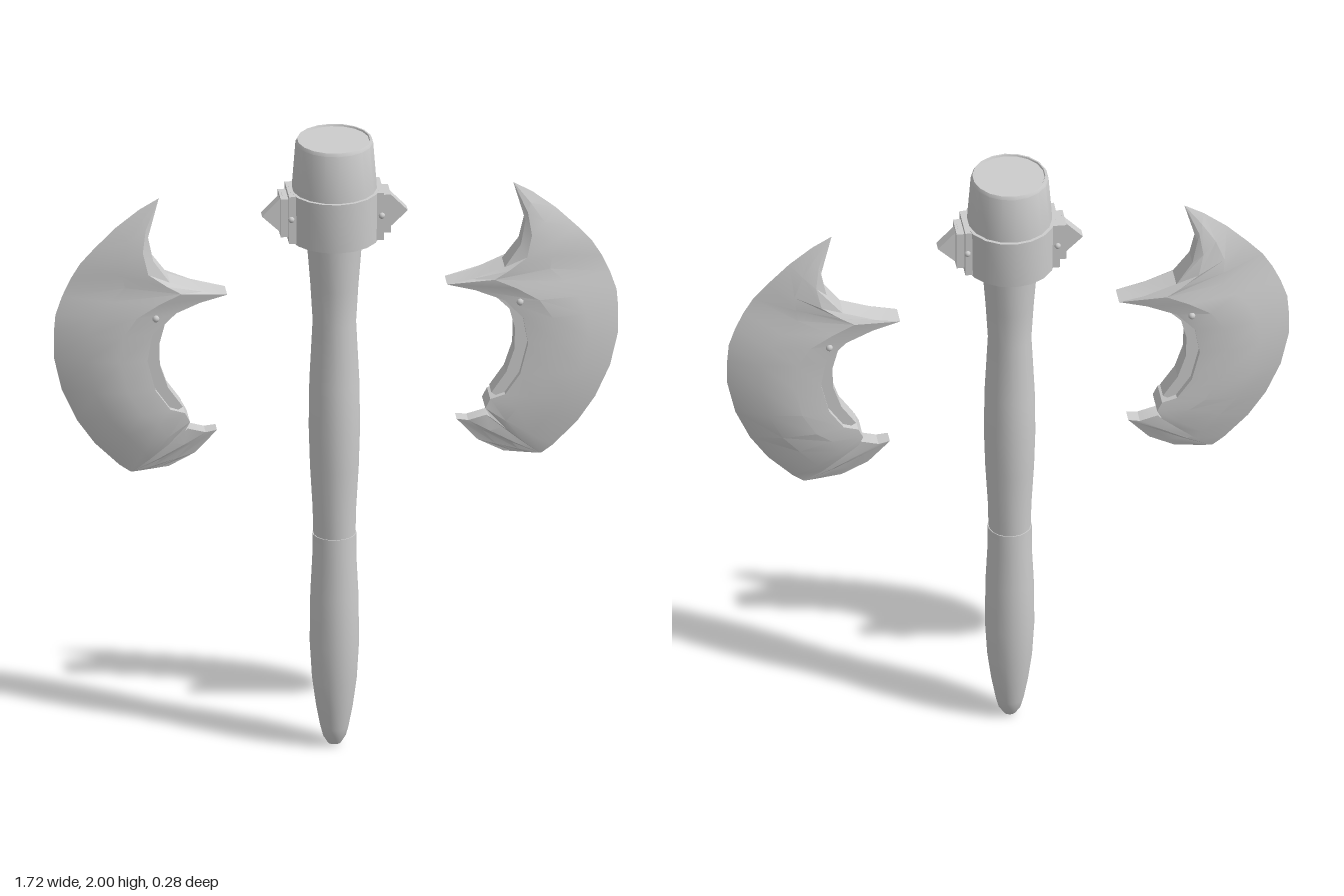
import * as THREE from 'three';
import { toCreasedNormals } from 'three/addons/utils/BufferGeometryUtils.js';

// Blade stations from upper tip to lower tip: inner x, y, half thickness, outer x, y, fullness
const STATIONS = [
  [0.54, 1.83, 0, 0.54, 1.83, 0],
  [0.575, 1.71, 0.02, 0.6, 1.795, 0.4],
  [0.56, 1.635, 0.03, 0.67, 1.74, 0.65],
  [0.51, 1.565, 0.037, 0.735, 1.675, 0.8],
  [0.41, 1.53, 0.035, 0.78, 1.625, 0.9],
  [0.335, 1.515, 0.033, 0.81, 1.575, 0.95],
  [0.42, 1.495, 0.04, 0.835, 1.52, 1],
  [0.51, 1.46, 0.048, 0.855, 1.46, 1],
  [0.565, 1.4, 0.05, 0.86, 1.4, 1],
  [0.58, 1.315, 0.05, 0.86, 1.32, 1],
  [0.555, 1.215, 0.05, 0.835, 1.21, 1],
  [0.51, 1.15, 0.048, 0.79, 1.11, 0.95],
  [0.465, 1.135, 0.045, 0.735, 1.03, 0.9],
  [0.45, 1.105, 0.045, 0.66, 0.955, 0.8],
  [0.465, 1.075, 0.045, 0.625, 0.93, 0.65],
  [0.455, 1.075, 0.025, 0.62, 0.93, 0.4],
  [0.4, 1.06, 0.025, 0.62, 0.93, 0.4],
  [0.365, 1.065, 0.022, 0.62, 0.93, 0.35],
  [0.43, 0.99, 0.012, 0.62, 0.93, 0.2],
  [0.51, 0.945, 0.004, 0.62, 0.93, 0.05],
  [0.625, 0.93, 0, 0.625, 0.93, 0],
];

// Closed loop around one cross-section: inner edge, face, bevel, cutting edge, and back
function section([ix, iy, w, ox, oy, f]) {
  const at = (t, z) => [ix + (ox - ix) * t, iy + (oy - iy) * t, z];
  const m = 0.058 * f, b = 0.041 * f;
  return [at(0, w), at(0.3, m), at(0.66, b), at(1, 0), at(0.66, -b), at(0.3, -m), at(0, -w)];
}

function bladeGeometry(side) {
  const rings = STATIONS.map(section);
  const pos = [];
  const tri = (a, b, c) => {
    for (const p of side > 0 ? [a, b, c] : [a, c, b]) pos.push(p[0] * side, p[1], p[2]);
  };
  for (let i = 0; i < rings.length - 1; i++) {
    const n = rings[i].length;
    for (let j = 0; j < n; j++) {
      const k = (j + 1) % n;
      tri(rings[i][j], rings[i + 1][j], rings[i + 1][k]);
      tri(rings[i][j], rings[i + 1][k], rings[i][k]);
    }
  }
  const g = new THREE.BufferGeometry();
  g.setAttribute('position', new THREE.Float32BufferAttribute(pos, 3));
  g.computeVertexNormals();
  return toCreasedNormals(g, 0.3);
}

// Thin stepped lip lining the inner arc of a blade
function lipGeometry(side) {
  const inner = [[0.42, 1.5], [0.475, 1.475], [0.525, 1.425], [0.542, 1.36], [0.54, 1.29], [0.515, 1.215], [0.47, 1.15]];
  const outer = [[0.5, 1.13], [0.58, 1.21], [0.61, 1.315], [0.59, 1.4], [0.53, 1.47]];
  const shape = new THREE.Shape([...inner, ...outer].map(([x, y]) => new THREE.Vector2(x * side, y)));
  const g = new THREE.ExtrudeGeometry(shape, { depth: 0.06, bevelEnabled: false });
  return g.translate(0, 0, -0.03);
}

export function createModel() {
  const root = new THREE.Group();
  root.name = 'doubleAxe';
  const grey = new THREE.MeshStandardMaterial({ color: 0xcccccc });
  grey.name = 'plain grey';

  const add = (parent, name, geo, x = 0, y = 0, z = 0) => {
    const m = new THREE.Mesh(geo, grey);
    m.name = name;
    m.position.set(x, y, z);
    parent.add(m);
    return m;
  };
  const lathe = (pts) => toCreasedNormals(
    new THREE.LatheGeometry(pts.map(([r, y]) => new THREE.Vector2(r, y)), 18), 0.45);

  // Shaft, collar and cap
  const shaft = new THREE.Group();
  shaft.name = 'shaft';
  shaft.position.x = -0.005;
  root.add(shaft);
  add(shaft, 'grip', lathe([
    [0, 0], [0.02, 0.006], [0.035, 0.03], [0.043, 0.06], [0.056, 0.13], [0.068, 0.22],
    [0.075, 0.34], [0.073, 0.5], [0.067, 0.62], [0.067, 0.7], [0, 0.7]]));
  add(shaft, 'handle', lathe([
    [0, 0.69], [0.064, 0.69], [0.066, 0.78], [0.074, 0.92], [0.078, 1.05], [0.076, 1.2],
    [0.066, 1.4], [0.073, 1.52], [0.087, 1.7]]));
  add(shaft, 'collar', lathe([
    [0, 1.68], [0.137, 1.68], [0.139, 1.84], [0.126, 1.84], [0.126, 1.82]]));
  add(shaft, 'cap', lathe([
    [0.13, 1.82], [0.128, 1.86], [0.118, 1.99], [0.113, 2], [0.108, 2], [0.106, 1.995], [0, 1.995]]));

  for (const side of [1, -1]) {
    const label = side > 0 ? 'left' : 'right';

    // Mount plates with rivets and a wedge spike
    const mount = new THREE.Group();
    mount.name = label + 'Mount';
    shaft.add(mount);
    add(mount, 'basePlate', new THREE.BoxGeometry(0.035, 0.155, 0.12), side * 0.127, 1.762, 0);
    add(mount, 'outerPlate', new THREE.BoxGeometry(0.03, 0.125, 0.08), side * 0.153, 1.762, 0);
    const wedge = new THREE.Shape([[0.16, 1.7], [0.222, 1.76], [0.16, 1.825]]
      .map(([x, y]) => new THREE.Vector2(x * side, y)));
    add(mount, 'spike', new THREE.ExtrudeGeometry(wedge, { depth: 0.034, bevelEnabled: false }), 0, 0, -0.017);

    // Crescent blade
    const blade = new THREE.Group();
    blade.name = label + 'Blade';
    root.add(blade);
    add(blade, 'bladeBody', bladeGeometry(side));
    add(blade, 'innerLip', lipGeometry(side));

    for (const front of [1, -1]) {
      add(mount, 'mountRivet', new THREE.SphereGeometry(0.01, 8, 6), side * 0.138, 1.765, front * 0.06);
      add(blade, 'bladeRivet', new THREE.SphereGeometry(0.011, 8, 6), side * 0.555, 1.455, front * 0.053);
    }
  }
  return root;
}
